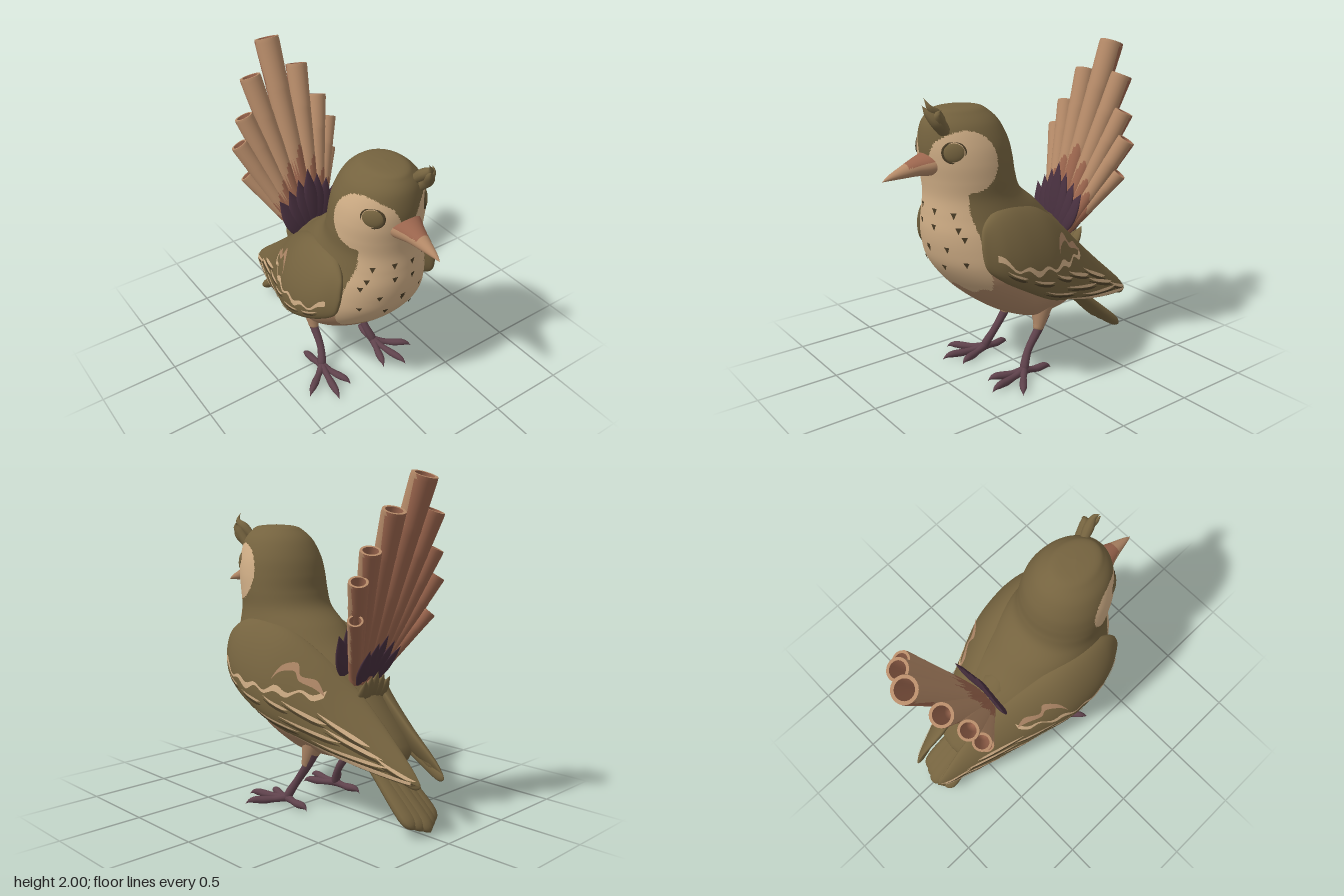
import * as THREE from 'three';

const V = (x, y, z) => new THREE.Vector3(x, y, z);
const mat = (name, color) => new THREE.MeshStandardMaterial({ name, color });

// Smooth interpolation through rows of numbers, u in 0..1
function sample(rows, u) {
  const n = rows.length - 1, f = Math.min(Math.max(u, 0), 1) * n, i = Math.min(Math.floor(f), n - 1), t = f - i;
  const [a, b, c, d] = [-1, 0, 1, 2].map(k => rows[Math.min(Math.max(i + k, 0), n)]);
  return b.map((_, k) => {
    const m0 = (c[k] - a[k]) / 2, m1 = (d[k] - b[k]) / 2;
    return b[k] + m0 * t + (3 * (c[k] - b[k]) - 2 * m0 - m1) * t * t + (2 * (b[k] - c[k]) + m0 + m1) * t * t * t;
  });
}
// Finds u where the first column equals value
function find(rows, value) {
  const up = rows[rows.length - 1][0] > rows[0][0];
  let lo = 0, hi = 1;
  for (let i = 0; i < 30; i++) {
    const m = (lo + hi) / 2;
    if ((sample(rows, m)[0] < value) === up) lo = m; else hi = m;
  }
  return lo;
}
// Surface grid from fn(u, v); pick(point, u) chooses a material index per cell
function grid(fn, nu, nv, { closed = true, flip = false, pick = () => 0 } = {}) {
  const pos = [], cols = closed ? nv : nv + 1, lists = [];
  for (let i = 0; i <= nu; i++) for (let j = 0; j < cols; j++) pos.push(...fn(i / nu, j / nv).toArray());
  const add = (u, a, b, c) => {
    const mid = V(0, 0, 0);
    for (const k of [a, b, c]) mid.add(V(pos[3 * k], pos[3 * k + 1], pos[3 * k + 2]));
    (lists[pick(mid.divideScalar(3), u)] ??= []).push(a, ...(flip ? [c, b] : [b, c]));
  };
  for (let i = 0; i < nu; i++) for (let j = 0; j < nv; j++) {
    const a = i * cols + j, b = i * cols + (j + 1) % cols, u = (i + 0.5) / nu;
    add(u, a, b, a + cols);
    add(u, b, b + cols, a + cols);
  }
  const g = new THREE.BufferGeometry(), index = [];
  lists.forEach((l, m) => { g.addGroup(index.length, l.length, m); for (const k of l) index.push(k); });
  g.setAttribute('position', new THREE.Float32BufferAttribute(pos, 3));
  g.setIndex(index);
  g.computeVertexNormals();
  return g;
}
// Tube along points [x, y, z, radius]
function tapered(rows, nu = 18, nv = 10) {
  const curve = new THREE.CatmullRomCurve3(rows.map(r => V(r[0], r[1], r[2])));
  const fr = curve.computeFrenetFrames(nu);
  return grid((u, v) => {
    const k = Math.round(u * nu), r = Math.max(sample(rows, u)[3], 0.0005), a = v * 2 * Math.PI;
    return curve.getPoint(u).addScaledVector(fr.normals[k], r * Math.cos(a)).addScaledVector(fr.binormals[k], r * Math.sin(a));
  }, nu, nv);
}

// Body rings: height, front z, back z, z of widest point, half width
const BODY = [
  [0.325, -0.15, -0.151, -0.15, 0.0005], [0.34, -0.03, -0.36, -0.12, 0.1], [0.37, 0.06, -0.44, -0.05, 0.18], [0.42, 0.17, -0.48, 0, 0.235],
  [0.5, 0.29, -0.49, 0.05, 0.3], [0.6, 0.41, -0.48, 0.12, 0.345], [0.7, 0.5, -0.45, 0.19, 0.365], [0.8, 0.565, -0.39, 0.23, 0.365],
  [0.9, 0.595, -0.31, 0.25, 0.352], [1, 0.607, -0.2, 0.27, 0.33], [1.1, 0.602, -0.1, 0.28, 0.3], [1.2, 0.595, 0.02, 0.3, 0.275],
  [1.3, 0.605, 0.06, 0.32, 0.272], [1.4, 0.62, 0.075, 0.34, 0.266], [1.5, 0.625, 0.1, 0.35, 0.247], [1.6, 0.61, 0.15, 0.37, 0.205],
  [1.66, 0.575, 0.21, 0.38, 0.15], [1.69, 0.53, 0.27, 0.39, 0.1], [1.7, 0.4005, 0.3995, 0.4, 0.0005]];
const bodyPoint = (u, v) => {
  const [y, f, b, c, w] = sample(BODY, u), a = v * 2 * Math.PI, k = Math.cos(a);
  return V(w * Math.sin(a), y, c + k * (k > 0 ? f - c : c - b));
};
function bodyColour({ x, y, z }) { // 0 olive, 1 cream, 2 tan
  const face = ((z - 0.475) / 0.168) ** 2 + ((y - 1.415) / 0.172) ** 2 < 1 && !(y > 1.4 && Math.abs(x) < 0.035 + (y - 1.42) * 0.5);
  const edge = 0.35 + 0.125 * Math.min(1, Math.max(0, (y - 0.62) / 0.5));
  if (face || (y < 1.32 && y > 0.645 + 0.02 * Math.sin(x * 32) && z > edge)) return 1;
  return y < 0.62 + 0.5 * z && y < 0.95 ? 2 : 0;
}

// Beak sections: z, middle y, half width, height above, depth below
const BEAK = [[0.56, 1.395, 0.115, 0.075, 0.07], [0.61, 1.39, 0.098, 0.066, 0.066], [0.68, 1.38, 0.066, 0.052, 0.05], [0.76, 1.362, 0.04, 0.036, 0.033], [0.84, 1.343, 0.018, 0.017, 0.015], [0.885, 1.328, 0.0005, 0.0005, 0.0005]];
const beakPoint = (u, v) => {
  const [z, y, w, up, down] = sample(BEAK, u), a = v * 2 * Math.PI, s = Math.sin(a);
  return V(w * Math.cos(a), y + s * (s > 0 ? up : down), z);
};

// Wing sections: z, top y, bottom y, top x, bottom x, outward bulge
const WING = [
  [0.475, 0.95, 0.95, 0.345, 0.345, 0], [0.45, 1.06, 0.83, 0.315, 0.355, 0.03], [0.35, 1.13, 0.74, 0.28, 0.375, 0.085],
  [0.2, 1.14, 0.65, 0.25, 0.385, 0.118], [0, 1.08, 0.54, 0.215, 0.35, 0.14], [-0.2, 0.95, 0.47, 0.16, 0.29, 0.13],
  [-0.4, 0.78, 0.41, 0.1, 0.25, 0.1], [-0.6, 0.6, 0.36, 0.09, 0.2, 0.06], [-0.8, 0.42, 0.32, 0.1, 0.14, 0.025], [-0.87, 0.34, 0.32, 0.1, 0.11, 0.005]];
function wingPoint(u, a, s, lift = 0) {
  const [z, yt, yb, xt, xb, bulge] = sample(WING, u), c = Math.cos(a), k = Math.sin(a);
  return V(s * ((xt + xb) / 2 + c * (xt - xb) / 2 + k * (k > 0 ? bulge : 0.04 * Math.min(1, bulge * 20)) + lift), (yt + yb) / 2 + c * (yt - yb) / 2, z);
}
// Band lying on the wing, path rows: z, y, half width
const wingBand = (path, s, lift) => grid((t, v) => {
  const [z, y, h] = sample(path, t), u = find(WING, z), [, yt, yb] = sample(WING, u);
  const c = (y + h * (1 - 2 * v) - (yt + yb) / 2) / Math.max((yt - yb) / 2, 0.01);
  return wingPoint(u, Math.acos(Math.min(0.98, Math.max(-0.98, c))), s, lift);
}, 40, 2, { closed: false, flip: s < 0 });

const POINTED = [[0.001, 0], [0.6, 0.15], [1, 0.42], [0.75, 0.7], [0.001, 1]];
const ROUNDED = [[0.001, 0], [0.55, 0.1], [0.8, 0.5], [1, 0.85], [0.7, 0.96], [0.001, 1]];
// Flat feather or leaf from base to tip
function blade(base, tip, width, thick, profile = POINTED, across = V(1, 0, 0)) {
  const y = tip.clone().sub(base), len = y.length();
  y.normalize();
  const x = across.clone().addScaledVector(y, -across.dot(y)).normalize();
  const pts = new THREE.SplineCurve(profile.map(p => new THREE.Vector2(...p))).getPoints(16);
  pts.forEach(p => { p.x = Math.max(p.x, 0.001); });
  const g = new THREE.LatheGeometry(pts, 12).scale(width, len, thick);
  return g.applyMatrix4(new THREE.Matrix4().makeBasis(x, y, x.clone().cross(y)).setPosition(base));
}

export function createModel() {
  const root = new THREE.Group();
  root.name = 'bird';
  const olive = mat('olive', 0x75633f), cream = mat('cream', 0xd0ae86), tan = mat('tan', 0xad8666), dark = mat('darkOlive', 0x4c3f28);
  const cane = mat('cane', 0xb58a68), rust = mat('rust', 0x9c664e), plum = mat('plum', 0x48303f), legs = mat('legBrown', 0x5f424c);
  const add = (name, geo, m) => {
    const mesh = new THREE.Mesh(geo, m);
    mesh.name = name;
    root.add(mesh);
    return mesh;
  };

  // Head and body in one smooth skin
  add('body', grid(bodyPoint, 190, 160, { pick: bodyColour }), [olive, cream, tan]);

  // Breast spots: little streaked triangles
  const spots = [[0.06, 1.13], [0.17, 1.12], [0.06, 1.04], [0.2, 1.04], [0, 0.9], [0.14, 0.92], [0.23, 0.99], [0.09, 0.8], [0.23, 0.84]];
  for (const s of [1, -1]) for (const [x, y0] of spots) {
    const y = y0 + (s < 0 ? 0.015 : 0), [, f, , c, w] = sample(BODY, find(BODY, y)), k = Math.sqrt(1 - (x / w) ** 2);
    const spot = add('breastSpot', new THREE.CircleGeometry(0.026, 3).rotateZ(-Math.PI / 2).scale(0.8, 1, 1), dark);
    const n = V(s * x / w ** 2, (y - 1.1) * 4, k / (f - c)).normalize();
    spot.position.set(s * x, y, c + k * (f - c)).addScaledVector(n, 0.008);
    spot.lookAt(spot.position.clone().add(n));
  }

  // Beak, darker around the top of its root
  add('beak', grid(beakPoint, 40, 32, { pick: p => p.y > 1.4 - 0.15 * (p.z - 0.6) + Math.abs(p.x) * 0.2 && p.z < 0.74 ? 1 : 0 }), [cane, rust]);

  // Crest tufts
  for (const rows of [
    [[0.11, 1.58, 0.56, 0.03], [0.125, 1.64, 0.61, 0.036], [0.1, 1.69, 0.65, 0.022], [0.085, 1.73, 0.675, 0]],
    [[0.12, 1.58, 0.55, 0.03], [0.135, 1.65, 0.6, 0.03], [0.15, 1.69, 0.62, 0.017], [0.16, 1.71, 0.6, 0]],
    [[0.08, 1.62, 0.54, 0.025], [0.1, 1.68, 0.6, 0.032], [0.11, 1.72, 0.645, 0.016], [0.08, 1.77, 0.66, 0]]]) add('crestTuft', tapered(rows), olive);

  for (const s of [1, -1]) {
    // Eye with dark rim and brow
    const eye = new THREE.Group();
    eye.name = 'eye';
    const ball = new THREE.Mesh(new THREE.SphereGeometry(1, 24, 16).scale(0.062, 0.056, 0.02), olive);
    const rim = new THREE.Mesh(new THREE.TorusGeometry(0.06, 0.008, 8, 32).scale(1.05, 0.95, 1), dark);
    ball.name = 'eyeball';
    rim.name = 'eyeRim';
    eye.add(ball, rim);
    eye.position.set(s * 0.174, 1.472, 0.534);
    eye.lookAt(s * 0.954, 1.572, 1.154);
    root.add(eye);

    // Wing with feather bands
    add('wing', grid((u, v) => wingPoint(u, v * 2 * Math.PI, s), 70, 48, { flip: s < 0 }), olive);
    const bar = [];
    for (let i = 0; i <= 24; i++) {
      const t = i / 24;
      bar.push([0.41 - 0.72 * t, 0.79 + 0.11 * (1 - t) ** 6 - 0.04 * t + 0.016 * Math.sin(t * 32), 0.013 + 0.006 * Math.cos(t * 19)]);
    }
    add('wingBar', wingBand(bar, s, 0.006), cream);
    add('upperWingBar', wingBand([[-0.02, 0.83, 0.002], [-0.06, 0.89, 0.018], [-0.13, 0.9, 0.022], [-0.17, 0.84, 0.014], [-0.25, 0.81, 0.02], [-0.31, 0.75, 0.002]], s, 0.007), tan);
    // Cream feather edges, each with a dark groove beneath: start z, y, end z, y, half width
    const edges = [
      [0.36, 0.82, 0.24, 0.76, 0.007], [0.2, 0.74, 0.04, 0.69, 0.008], [0.02, 0.73, -0.14, 0.66, 0.009], [-0.1, 0.71, -0.36, 0.6, 0.011], [-0.3, 0.66, -0.6, 0.5, 0.011],
      [0.1, 0.64, -0.2, 0.54, 0.007], [-0.08, 0.62, -0.45, 0.51, 0.009], [-0.35, 0.58, -0.68, 0.44, 0.01], [-0.28, 0.5, -0.72, 0.4, 0.009], [-0.64, 0.45, -0.86, 0.345, 0.009]];
    for (const [z0, y0, z1, y1, h] of edges) {
      const path = (dy, k) => [0, 0.3, 0.75, 1].map((t, i) => [z0 + (z1 - z0) * t, y0 + (y1 - y0) * t + dy - 0.01 * Math.sin(t * Math.PI), k * [0.1, 0.8, 1, 0.1][i]]);
      add('featherEdge', wingBand(path(0, h), s, 0.006), cream);
      add('featherGroove', wingBand(path(-0.02, 0.008), s, 0.004), dark);
    }
    add('wingLowerEdge', wingBand([[-0.12, 0.515, 0.002], [-0.35, 0.445, 0.01], [-0.6, 0.385, 0.012], [-0.84, 0.333, 0.008]], s, 0.006), cream);
    for (let i = 0; i < 4; i++) {
      add('wingTipFeather', blade(V(s * 0.19, 0.47 + i * 0.04, -0.42), V(s * (0.1 + 0.01 * i), 0.31 + i * 0.055, -0.88 + i * 0.07), 0.035, 0.016, ROUNDED, V(0, 1, 0)), olive);
    }

    // Leg, thigh and toes
    add('thigh', tapered([[s * 0.15, 0.46, -0.12, 0.08], [s * 0.162, 0.37, -0.09, 0.06], [s * 0.175, 0.3, -0.07, 0.038], [s * 0.177, 0.265, -0.06, 0.028], [s * 0.177, 0.262, -0.06, 0]], 16, 14), tan);
    add('leg', tapered([[s * 0.17, 0.36, -0.12, 0.034], [s * 0.175, 0.26, -0.06, 0.028], [s * 0.18, 0.15, 0.02, 0.024], [s * 0.205, 0.06, 0.07, 0.028], [s * 0.215, 0.02, 0.08, 0.02]]), legs);
    for (const [x, z] of [[0.135, 0.3], [0.27, 0.365], [0.41, 0.24], [0.23, -0.12]]) {
      const at = (t, y, r) => [s * (0.21 + (x - 0.21) * t), y, 0.08 + (z - 0.08) * t, r];
      add('toe', tapered([at(0, 0.04, 0.027), at(0.3, 0.03, 0.02), at(0.55, 0.027, 0.024), at(0.78, 0.03, 0.021), at(0.9, 0.025, 0.012), at(1, 0.005, 0)], 20, 10), legs);
    }
  }

  // Rump filling the gap between the wings, and tail feathers
  add('rump', blade(V(0, 0.98, -0.2), V(0, 0.34, -0.62), 0.17, 0.085, ROUNDED), olive);
  for (let i = -2; i <= 2; i++) {
    const d = Math.abs(i);
    add('tailFeather', blade(V(i * 0.035, 0.52, -0.34 + d * 0.01), V(i * 0.045, 0.03 + d * 0.014, -0.875 + d * 0.02), 0.06, 0.036, ROUNDED), olive);
  }

  // Fan of hollow canes: tip x, y, z and radius
  const canes = [[0, 1.975, -0.785, 0.076], [0.165, 1.79, -0.72, 0.067], [0.265, 1.58, -0.65, 0.06], [0.325, 1.42, -0.62, 0.056], [0.31, 1.21, -0.585, 0.045]];
  for (const [x, y, z, r] of canes) for (const s of x ? [1, -1] : [1]) {
    const base = V(s * x * 0.2, 0.8, -0.35), dir = V(s * x, y, z).sub(base), len = dir.length();
    const rows = [[0, 0.6], [0.2, 0.74], [0.3, 0.79], [0.4, 0.83], [0.44, 0.85], [0.46, 0.84], [0.6, 0.88], [0.74, 0.91], [0.76, 0.94], [0.78, 0.92], [0.98, 1], [1, 0.97], [1, 0.97], [1, 0.72], [1, 0.72], [0.8, 0.62], [0.8, 0.01]];
    const n = rows.length - 1;
    // Light in front, reddish at the root, behind and inside
    const pick = (p, u) => (u * n < 12 ? p.z > -0.1 * r && p.y > (0.4 + 0.06 * Math.sin(p.x / r * 4)) * len : u * n < 14) ? 0 : 1;
    const tube = add('cane', grid((u, v) => {
      const [h, k] = rows[Math.round(u * n)], a = v * 2 * Math.PI;
      return V(r * k * Math.sin(a), h * len, r * k * Math.cos(a));
    }, n, 24, { pick }), [cane, rust]);
    tube.position.copy(base);
    tube.quaternion.setFromUnitVectors(V(0, 1, 0), dir.normalize());
  }
  add('twig', tapered([[0, 0.77, -0.32, 0.025], [0, 0.8, -0.4, 0.018], [0, 0.83, -0.46, 0.014], [0, 0.835, -0.465, 0]]), rust);

  // Dark leaves wrapped around the fan base, with olive down behind
  for (let i = -3; i <= 3; i++) {
    const d = Math.abs(i);
    add('frontLeaf', blade(V(i * 0.025, 0.8, -0.3), V(i * 0.07, 1.26 - d * 0.055, -0.365), 0.06, 0.018), plum);
  }
  for (let i = -2; i <= 2; i++) {
    const d = Math.abs(i);
    add('backLeaf', blade(V(i * 0.03, 0.78, -0.37), V(i * 0.065, 1.1 - d * 0.04, -0.55 + d * 0.01), 0.045, 0.014), plum);
    add('rumpDown', blade(V(i * 0.035, 0.68, -0.4), V(i * 0.05, 0.88 - d * 0.02, -0.475), 0.04, 0.02), olive);
  }
  return root;
}
